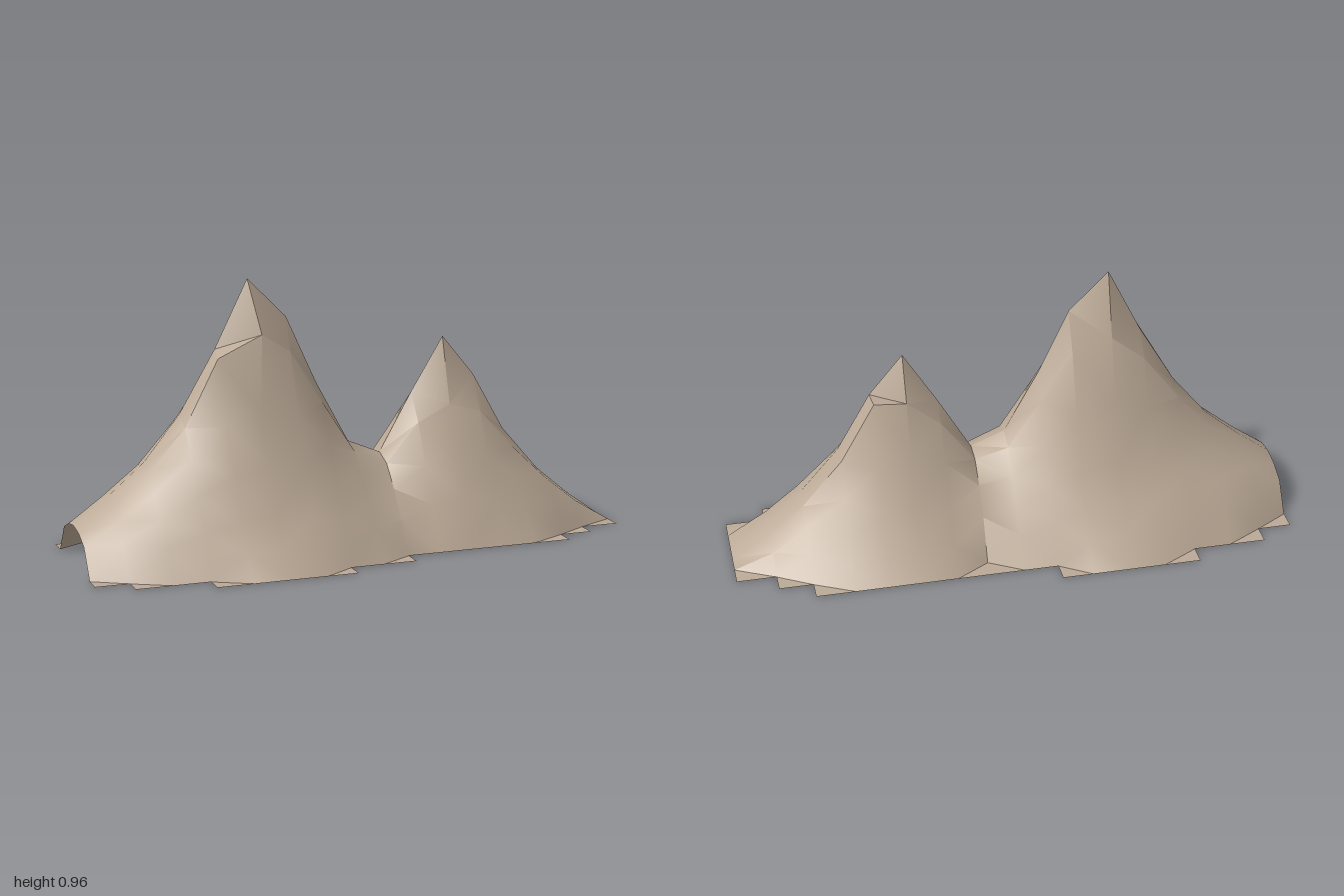
import * as THREE from 'three';
import { toCreasedNormals } from 'three/addons/utils/BufferGeometryUtils.js';

// Stations along the ridge: [x, front rows to ground, back rows to ground]
const stations = [
  [-1, 3, 3], [-0.88, 4, 4], [-0.75, 5, 5], [-0.62, 5, 5], [-0.49, 6, 6], [-0.37, 6, 6],
  [-0.23, 6, 6], [-0.12, 5, 5], [0, 5, 5], [0.12, 4, 4], [0.24, 4, 5], [0.36, 4, 5],
  [0.48, 4, 5], [0.6, 4, 5], [0.74, 3, 4], [0.86, 2, 3], [1, 1, 1],
];
const ROWS = 6;
const ROW_DEPTH = 0.072;

// Each peak: its station and its height per grid step in four directions
const peaks = [
  {
    station: 5,
    left: [0.96, 0.82, 0.58, 0.36, 0.22, 0.12, 0.05, 0],
    right: [0.96, 0.72, 0.5, 0.34, 0.23, 0.14, 0.06, 0],
    front: [0.96, 0.775, 0.52, 0.345, 0.18, 0.09, 0],
    back: [0.96, 0.735, 0.52, 0.3, 0.18, 0.09, 0],
  },
  {
    station: 11,
    left: [0.715, 0.57, 0.36, 0.2, 0.1, 0],
    right: [0.715, 0.52, 0.31, 0.2, 0.1, 0],
    front: [0.715, 0.48, 0.31, 0.17, 0.05, 0],
    back: [0.715, 0.56, 0.4, 0.22, 0.1, 0],
  },
];

// Rocky irregularities: 'station,row' -> position
const crags = {
  '5,1': [-0.345, 0.775, 0.085],
  '4,1': [-0.5, 0.7, 0.075],
  '6,1': [-0.24, 0.71, 0.075],
  '12,-1': [0.475, 0.57, -0.072],
  '13,-1': [0.595, 0.355, -0.072],
};

function sample(profile, r) {
  const k = Math.floor(r);
  if (k >= profile.length - 1) return 0;
  return THREE.MathUtils.lerp(profile[k], profile[k + 1], r - k);
}

// Height of one peak: its profiles blended around the summit
function peakHeight(peak, i, row) {
  const dx = i - peak.station;
  const r = Math.hypot(dx, row);
  const along = r === 0 ? 1 : (dx / r) ** 2;
  const side = sample(dx > 0 ? peak.left : peak.right, r);
  const face = sample(row > 0 ? peak.front : peak.back, r);
  return THREE.MathUtils.lerp(face, side, along);
}

function heightAt(i, row) {
  const [, front, back] = stations[i];
  if (Math.abs(row) >= (row > 0 ? front : back)) return 0;
  return Math.max(...peaks.map((peak) => peakHeight(peak, i, row)));
}

function pointAt(i, row) {
  const p = crags[`${i},${row}`] ?? [stations[i][0], heightAt(i, row), row * ROW_DEPTH];
  return new THREE.Vector3(...p);
}

function mountainGeometry() {
  const points = [];
  const index = [];
  const width = 2 * ROWS + 1;
  for (let i = 0; i < stations.length; i++) {
    for (let row = -ROWS; row <= ROWS; row++) points.push(pointAt(i, row));
  }
  for (let i = 0; i < stations.length - 1; i++) {
    for (let row = -ROWS; row < ROWS; row++) {
      const a = i * width + row + ROWS;
      const b = a + 1;
      const c = a + width;
      const d = c + 1;
      // leave out cells lying wholly on the ground, which gives the stepped skirt
      if ([a, b, c, d].every((k) => points[k].y === 0)) continue;
      // split each cell along its shorter diagonal
      if (points[a].distanceTo(points[d]) < points[b].distanceTo(points[c])) {
        index.push(a, b, d, a, d, c);
      } else {
        index.push(a, b, c, b, d, c);
      }
    }
  }
  const geometry = new THREE.BufferGeometry().setFromPoints(points);
  geometry.setIndex(index);
  return toCreasedNormals(geometry, 0.6);
}

export function createModel() {
  const group = new THREE.Group();
  group.name = 'twinPeakMountain';
  const rock = new THREE.MeshStandardMaterial({ color: 0xbcaa97, side: THREE.DoubleSide });
  rock.name = 'tan rock';
  const mountain = new THREE.Mesh(mountainGeometry(), rock);
  mountain.name = 'mountainRidge';
  group.add(mountain);
  return group;
}
